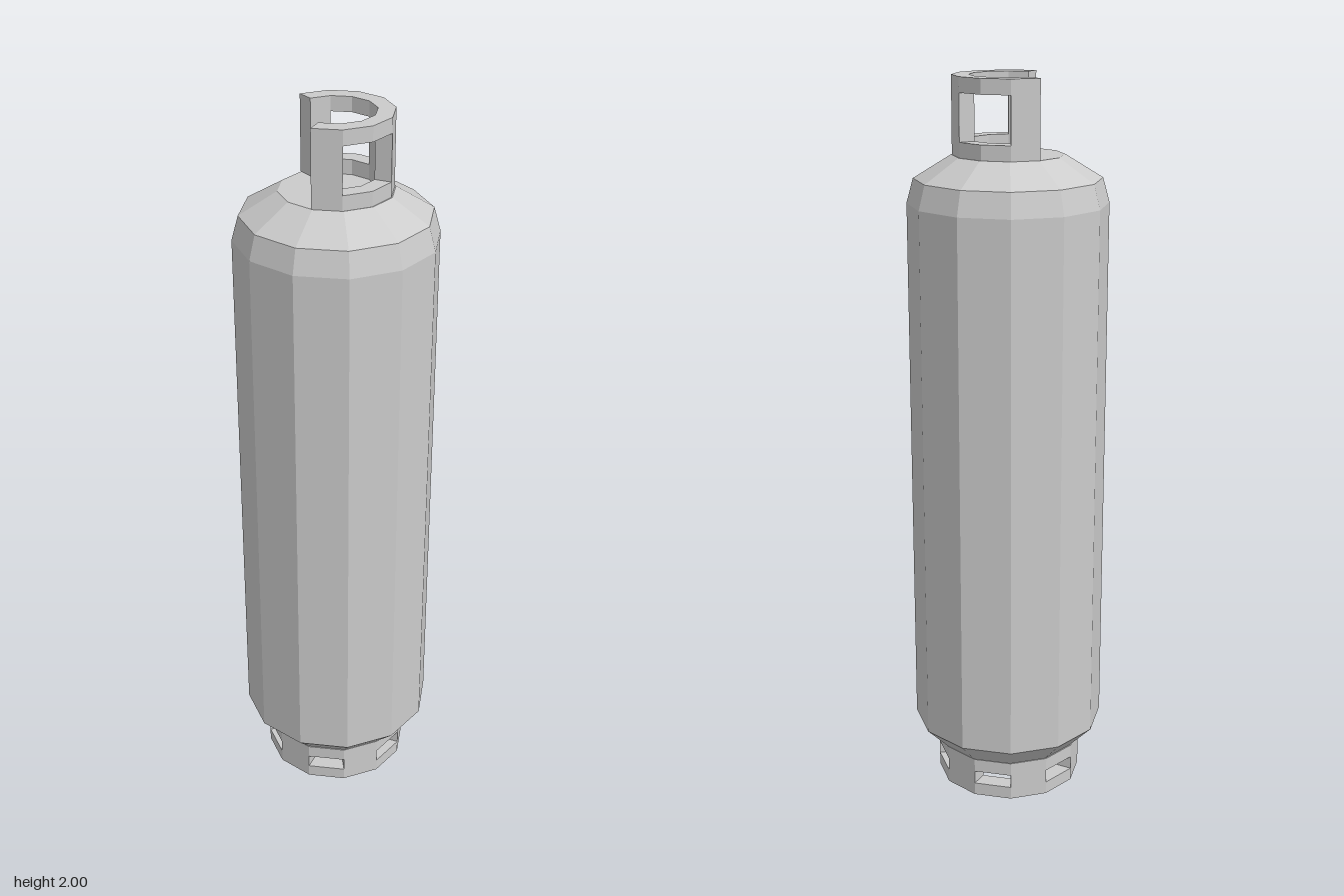
import * as THREE from 'three';

const STEP = Math.PI / 6; // twelve-sided throughout

// Thick faceted ring wall made of cells (segment k, row j); solid(k, j) leaves openings.
function ringWall(inner, outer, rows, solid) {
  const pos = [];
  const p = (r, k, y) => [r * Math.cos(k * STEP), y, r * Math.sin(k * STEP)];
  const quad = (a, b, c, d) => pos.push(...a, ...b, ...c, ...a, ...c, ...d);
  const filled = (k, j) => j >= 0 && j < rows.length - 1 && solid((k + 12) % 12, j);
  for (let k = 0; k < 12; k++) {
    for (let j = 0; j < rows.length - 1; j++) {
      if (!filled(k, j)) continue;
      const y0 = rows[j], y1 = rows[j + 1], n = k + 1;
      quad(p(outer, n, y0), p(outer, k, y0), p(outer, k, y1), p(outer, n, y1));
      quad(p(inner, k, y0), p(inner, n, y0), p(inner, n, y1), p(inner, k, y1));
      // Edges facing an opening or the outside
      if (!filled(k, j + 1)) quad(p(outer, n, y1), p(outer, k, y1), p(inner, k, y1), p(inner, n, y1));
      if (!filled(k, j - 1)) quad(p(inner, n, y0), p(inner, k, y0), p(outer, k, y0), p(outer, n, y0));
      if (!filled(k - 1, j)) quad(p(outer, k, y0), p(inner, k, y0), p(inner, k, y1), p(outer, k, y1));
      if (!filled(n, j)) quad(p(outer, n, y1), p(inner, n, y1), p(inner, n, y0), p(outer, n, y0));
    }
  }
  const geo = new THREE.BufferGeometry();
  geo.setAttribute('position', new THREE.Float32BufferAttribute(pos, 3));
  geo.computeVertexNormals();
  return geo;
}

export function createModel() {
  const model = new THREE.Group();
  model.name = 'gasCylinder';
  const metal = new THREE.MeshStandardMaterial({ color: 0xcccccc, flatShading: true });
  const add = (name, geometry, x = 0) => {
    const mesh = new THREE.Mesh(geometry, metal);
    mesh.name = name;
    mesh.position.x = x;
    model.add(mesh);
  };

  // Tank with tapered foot and sloped shoulder
  const profile = [[0, 0.11], [0.2, 0.11], [0.268, 0.18], [0.268, 1.67], [0.25, 1.735], [0.15, 1.796], [0, 1.796]];
  add('tank', new THREE.LatheGeometry(profile.map(([x, y]) => new THREE.Vector2(x, y)), 12));

  // Foot ring: a slot in every other facet
  add('footRing', ringWall(0.155, 0.204, [0, 0.036, 0.074, 0.112],
    (k, j) => j !== 1 || k % 2 === 0), -0.002);

  // Valve guard: open on the right side, with two hand windows
  const windows = [1, 2, 9, 10];
  add('valveGuard', ringWall(0.105, 0.15, [1.796, 1.836, 1.96, 2],
    (k, j) => (k < 4 || k >= 8) && !(j === 1 && windows.includes(k))), -0.003);

  return model;
}
